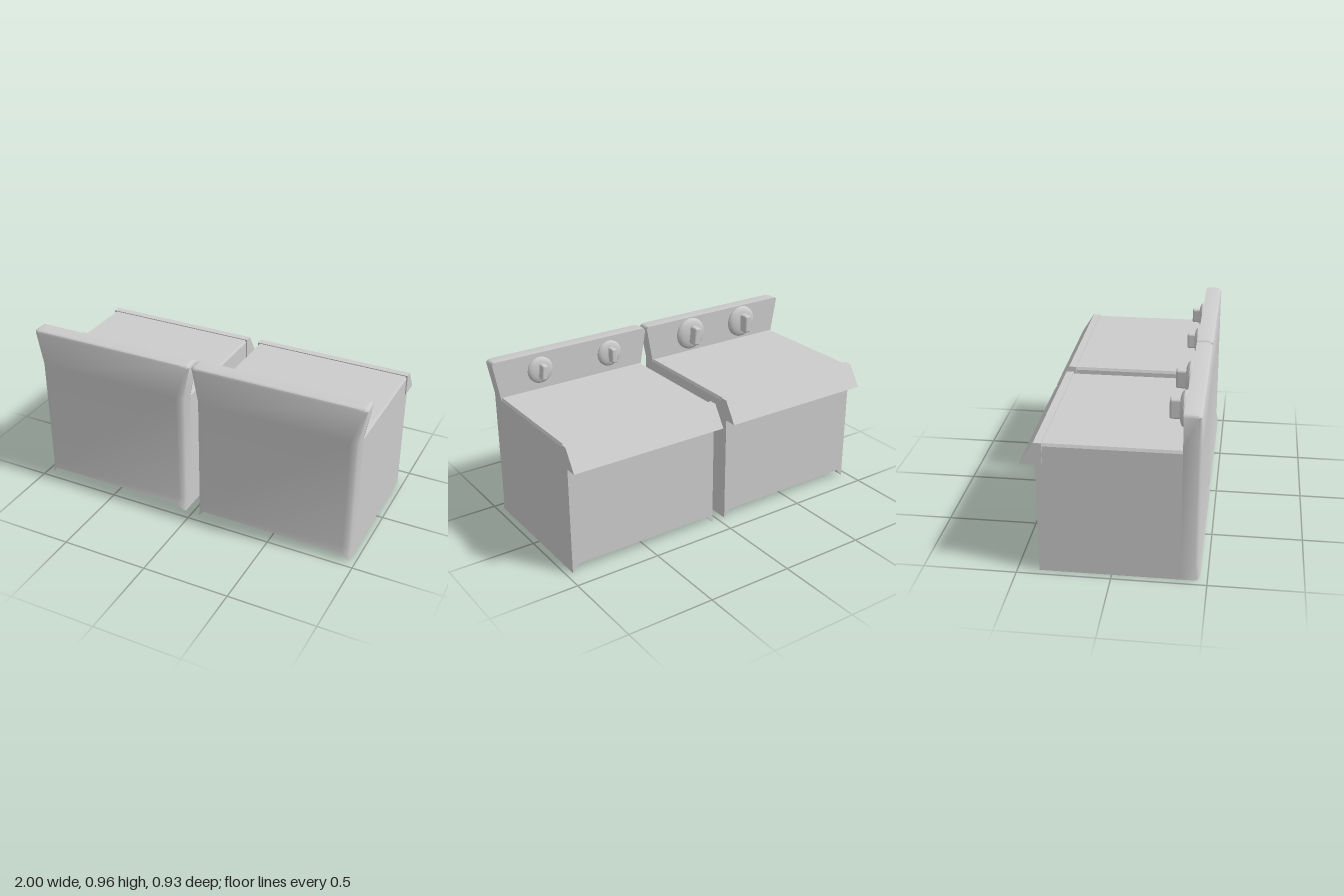
import * as THREE from 'three';
import { toCreasedNormals } from 'three/addons/utils/BufferGeometryUtils.js';
import { RoundedBoxGeometry } from 'three/addons/geometries/RoundedBoxGeometry.js';

const material = new THREE.MeshStandardMaterial({ color: 0xcccccc, side: THREE.DoubleSide });

function addMesh(parent, name, geometry) {
  const mesh = new THREE.Mesh(geometry, material);
  mesh.name = name;
  parent.add(mesh);
  return mesh;
}

// Skin through rows of [x, y, z] points, rows running upwards
function loft(rows, crease) {
  const n = rows[0].length, index = [];
  for (let r = 0; r < rows.length - 1; r++) {
    for (let i = 0; i < n - 1; i++) {
      const a = r * n + i, b = a + 1, c = a + n, d = c + 1;
      index.push(a, b, d, a, d, c);
    }
  }
  const g = new THREE.BufferGeometry();
  g.setAttribute('position', new THREE.Float32BufferAttribute(rows.flat(2), 3));
  g.setIndex(index);
  return toCreasedNormals(g, crease);
}

const W = 0.46, TOP_W = 0.497, REAR = 0.36;

// Row across the tall panel: half width w, front face at z, corners at y, middle at yMid
function panelRow(w, y, z, yMid = y) {
  const half = [[w - 0.04, yMid, z], [w - 0.01, y + (yMid - y) * 0.25, z - 0.007],
    [w, y, z - 0.02], [w, y, REAR]];
  return [...half.map(([x, py, pz]) => [-x, py, pz]).reverse(), ...half];
}

// Flat row lying in the rear plane of the panel
function rearRow(w, y) {
  return panelRow(w, y, REAR).map(([x, py]) => [x, py, REAR]);
}

function frontPanel() {
  return loft([
    panelRow(W, 0, 0.465, 0.045),
    panelRow(W, 0.09, 0.455),
    panelRow(W, 0.75, 0.455),
    panelRow(TOP_W, 0.945, 0.455),
    panelRow(TOP_W - 0.005, 0.955, 0.45),
    panelRow(TOP_W - 0.012, 0.96, 0.438),
    rearRow(TOP_W - 0.012, 0.96),
    rearRow(TOP_W, 0.945),
    rearRow(W, 0.74),
  ], 0.7);
}

// Open-bottomed cabinet: sides, notched far wall and bevelled top
function cabinetRow(w, y, z, yMid = y) {
  return [[w, y, REAR], [w, y, z], [w - 0.04, yMid, z],
    [-w + 0.04, yMid, z], [-w, y, z], [-w, y, REAR]];
}

function cabinet() {
  const Z = -0.383;
  const rim = cabinetRow(W - 0.008, 0.745, Z);
  return loft([
    cabinetRow(W, 0, Z, 0.045),
    cabinetRow(W, 0.73, Z),
    rim,
    rim.map(([x, y]) => [x, y, REAR]),
  ], 0.4);
}

// Sloping lip along the far edge of the top
function lip() {
  const s = new THREE.Shape([[-0.345, 0.63], [-0.345, 0.75], [-0.387, 0.75], [-0.463, 0.63]]
    .map(([z, y]) => new THREE.Vector2(z, y)));
  const g = new THREE.ExtrudeGeometry(s, { depth: 0.932, bevelEnabled: false });
  return g.rotateY(-Math.PI / 2).translate(0.466, 0, 0);
}

// Round dial with an upright grip, pointing to -z
function knob(scale, tilt) {
  const group = new THREE.Group();
  group.name = 'knob';
  const profile = [[0.09, -0.005], [0.097, 0.004], [0.097, 0.014], [0.09, 0.024],
    [0.078, 0.03], [0.06, 0.035], [0, 0.038]].map(([x, y]) => new THREE.Vector2(x, y));
  const dial = toCreasedNormals(new THREE.LatheGeometry(profile, 32), 0.6);
  addMesh(group, 'dial', dial.rotateX(-Math.PI / 2));
  const grip = addMesh(group, 'grip', new RoundedBoxGeometry(0.044, 0.11, 0.064, 3, 0.012));
  grip.position.z = -0.058;
  group.scale.setScalar(scale);
  group.rotation.z = tilt;
  return group;
}

function stove(name, x, knobScale, knobXs) {
  const group = new THREE.Group();
  group.name = name;
  addMesh(group, 'frontPanel', frontPanel());
  addMesh(group, 'cabinet', cabinet());
  addMesh(group, 'lip', lip());
  knobXs.forEach((kx, i) => {
    const k = knob(knobScale, i * 0.1);
    k.position.set(kx - x, 0.86, REAR);
    group.add(k);
  });
  group.position.x = x;
  return group;
}

export function createModel() {
  const model = new THREE.Group();
  model.name = 'stovePair';
  model.add(stove('rightStove', -0.503, 1, [-0.708, -0.318]));
  model.add(stove('leftStove', 0.503, 0.79, [0.263, 0.715]));
  return model;
}
